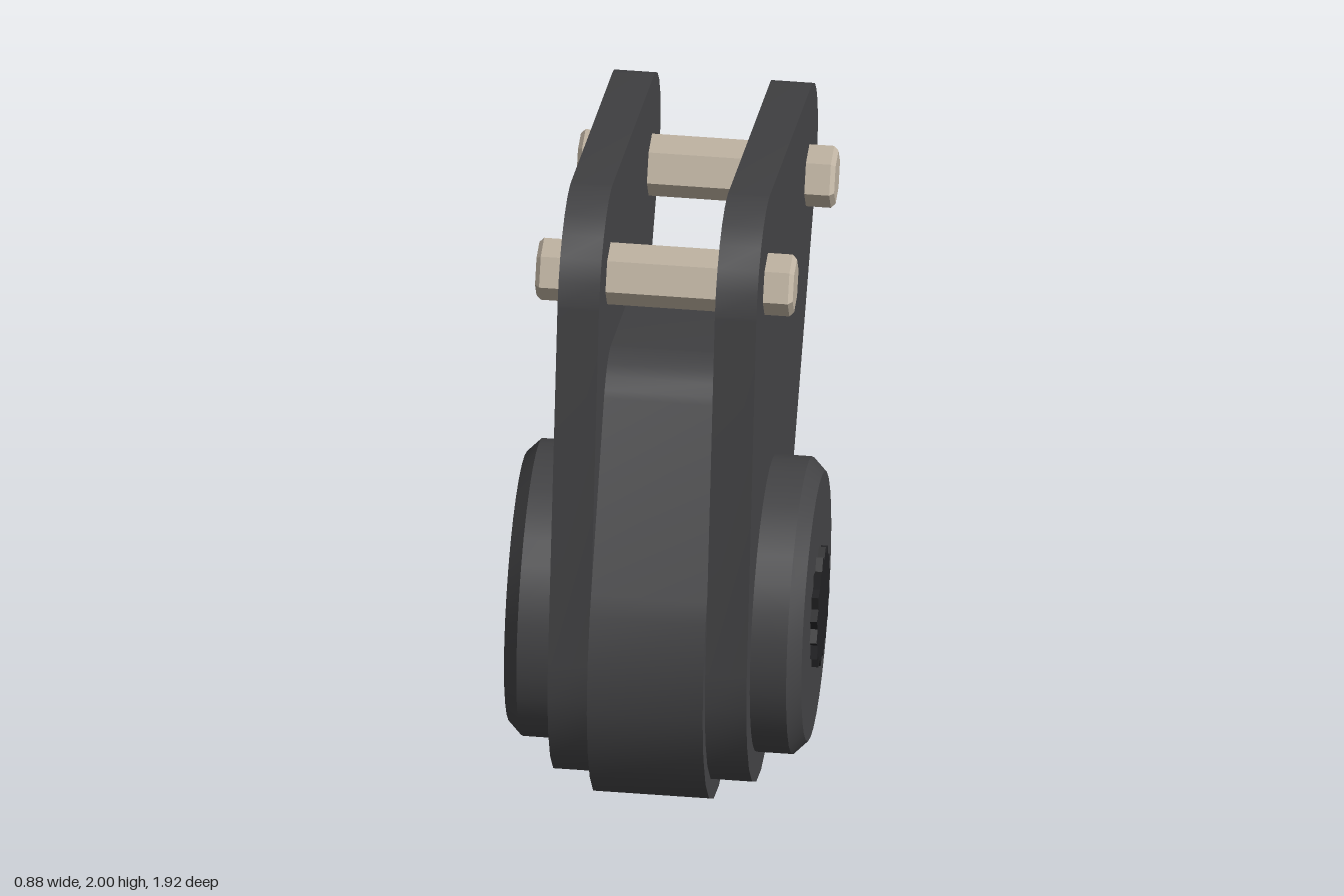
import * as THREE from 'three';
import { toCreasedNormals } from 'three/addons/utils/BufferGeometryUtils.js';

const HUB = [-0.39, 0.58];      // points are (-z, y)
const REAR = [0.69, 1.305];
const TOP = [-0.39, 1.735];

// Outline wrapped tightly around circles [u, v, r], listed counter-clockwise
function wrapCircles(circles) {
  const n = circles.length, step = Math.PI / 12;
  const normals = circles.map((a, i) => {
    const b = circles[(i + 1) % n];
    const du = b[0] - a[0], dv = b[1] - a[1];
    return Math.atan2(dv, du) - Math.acos((a[2] - b[2]) / Math.hypot(du, dv));
  });
  const points = [];
  circles.forEach(([u, v, r], i) => {
    const start = normals[(i + n - 1) % n];
    let end = normals[i];
    while (end < start) end += Math.PI * 2;
    const angles = [start];
    for (let k = Math.floor(start / step) + 1; k * step < end - 0.02; k++) {
      if (k * step > start + 0.02) angles.push(k * step);
    }
    angles.push(end);
    for (const t of angles) points.push(new THREE.Vector2(u + r * Math.cos(t), v + r * Math.sin(t)));
  });
  return new THREE.Shape(points);
}

// Extrude a side outline across the model from x0 to x1
function slab(shape, x0, x1) {
  const geo = new THREE.ExtrudeGeometry(shape, { depth: x1 - x0, bevelEnabled: false });
  geo.rotateY(Math.PI / 2).translate(x0, 0, 0);
  return toCreasedNormals(geo, 0.5);
}

// Solid turned about the x axis with chamfered ends
function turned(x0, x1, r, chamfer, sides, crease) {
  const profile = [[0, x0], [r - chamfer, x0], [r, x0 + chamfer], [r, x1 - chamfer], [r - chamfer, x1], [0, x1]]
    .map(([a, b]) => new THREE.Vector2(a, b));
  const geo = new THREE.LatheGeometry(profile, sides).rotateZ(-Math.PI / 2);
  return toCreasedNormals(geo, crease);
}

export function createModel() {
  const model = new THREE.Group();
  model.name = 'bracketAssembly';
  const dark = new THREE.MeshStandardMaterial({ color: 0x444446 });
  const black = new THREE.MeshStandardMaterial({ color: 0x222224 });
  const tan = new THREE.MeshStandardMaterial({ color: 0xbfb3a2 });
  const add = (name, geo, mat) => {
    const mesh = new THREE.Mesh(geo, mat);
    mesh.name = name;
    model.add(mesh);
    return mesh;
  };

  // Two side plates
  const plate = wrapCircles([[...HUB, 0.52], [...REAR, 0.268], [...TOP, 0.265]]);
  add('rightPlate', slab(plate, -0.30, -0.18), dark);
  add('leftPlate', slab(plate, 0.155, 0.275), dark);

  // Core between the plates, with its upper corners drawn in towards the hub
  const inward = ([u, v]) => [HUB[0] + (u - HUB[0]) * 0.61, HUB[1] + (v - HUB[1]) * 0.61];
  const core = wrapCircles([[...HUB, 0.577], [...inward(REAR), 0.163], [...inward(TOP), 0.158]]);
  add('core', slab(core, -0.18, 0.155), dark);

  // Hub drum through both plates
  add('hub', turned(-0.44, 0.42, 0.43, 0.04, 32, 0.5), dark).position.set(0, HUB[1], -HUB[0]);

  // Toothed shaft end on the left face of the hub
  const teeth = 16, star = [];
  for (let i = 0; i < teeth * 2; i++) {
    const a = Math.PI / 2 + (i * Math.PI) / teeth, r = i % 2 ? 0.15 : 0.177;
    star.push(new THREE.Vector2(HUB[0] + r * Math.cos(a), HUB[1] + r * Math.sin(a)));
  }
  add('toothedShaft', slab(new THREE.Shape(star), 0.39, 0.44), black);

  // Hexagonal cross bolts
  for (const [name, [u, v]] of [['topBolt', TOP], ['rearBolt', REAR]]) {
    add(name, turned(-0.385, 0.36, 0.09, 0.013, 6, 0.1), tan).position.set(0, v, -u);
  }
  return model;
}
